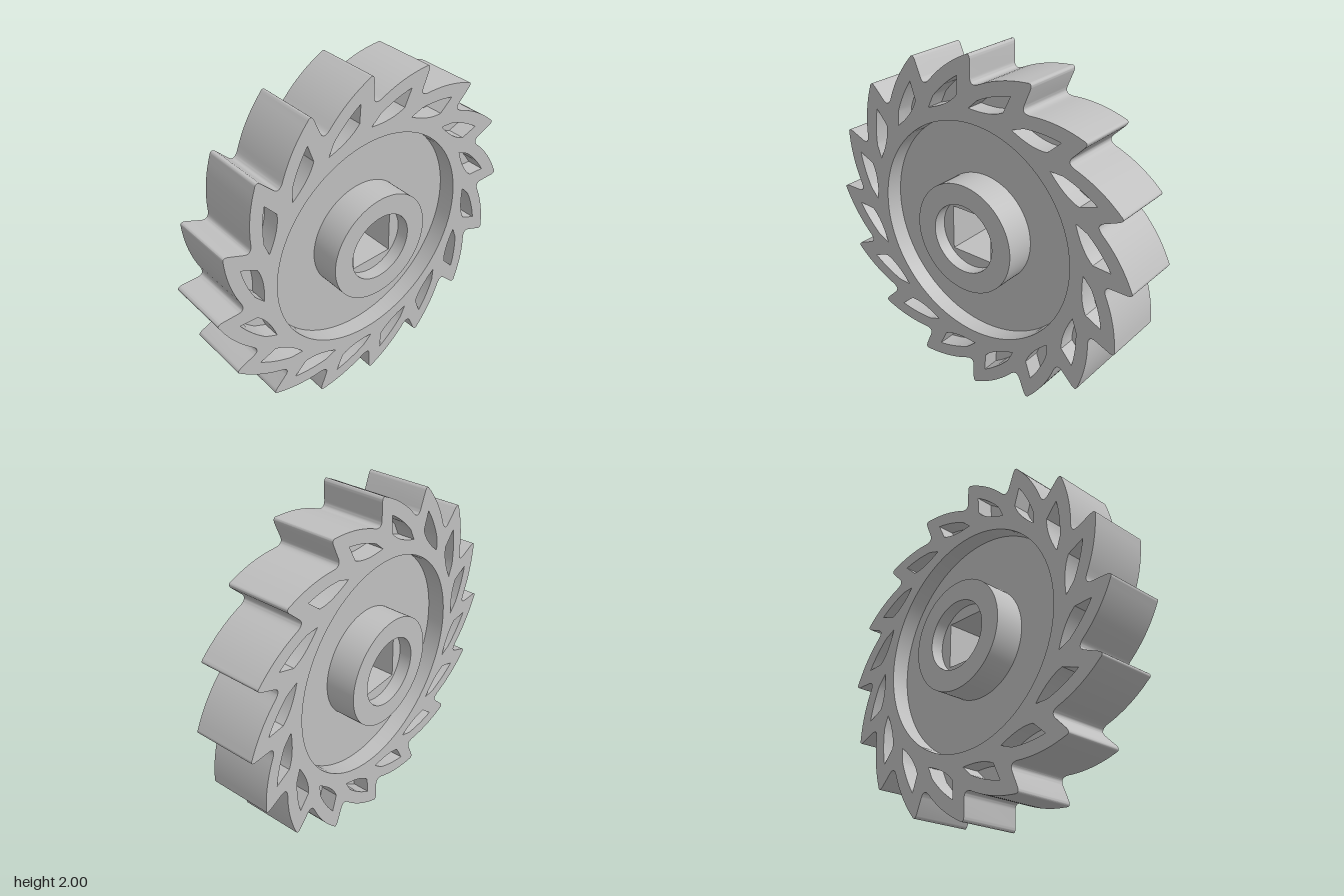
import * as THREE from 'three';
import { toCreasedNormals } from 'three/addons/utils/BufferGeometryUtils.js';

const TEETH = 16, STEP = (Math.PI * 2) / TEETH;
const RIM_Z = 0.183, WEB_Z = 0.08, HUB_Z = 0.257;
const RECESS_R = 0.64, HUB_R = 0.32, BORE_R = 0.2, SQUARE = 0.13;

const centre = new THREE.Vector2();
const turn = (pts, k) => pts.map((p) => p.clone().rotateAround(centre, k * STEP));

// Counter-clockwise circle
function circle(r, n = 96) {
  return Array.from({ length: n }, (_, i) => {
    const a = (i / n) * Math.PI * 2;
    return new THREE.Vector2(Math.cos(a) * r, Math.sin(a) * r);
  });
}

// Swept, raked teeth with rounded tips and roots, counter-clockwise
function toothedOutline() {
  const path = new THREE.Path();
  const start = new THREE.Vector2(-0.03, 0.996);
  const end = turn([start], -1)[0];
  path.moveTo(start.x, start.y);
  path.quadraticCurveTo(-0.002, 1.014, 0, 0.975);
  path.lineTo(0, 0.885);
  path.quadraticCurveTo(0, 0.838, 0.05, 0.857);
  path.quadraticCurveTo(0.193, 0.925, end.x, end.y);
  const tooth = path.getPoints(10).reverse().slice(1);
  const all = [];
  for (let k = 0; k < TEETH; k++) all.push(...turn(tooth, k));
  return all;
}

// One pocket behind a tooth, counter-clockwise
function pocketOutline() {
  const path = new THREE.Path();
  path.moveTo(-0.013, 0.722);
  path.quadraticCurveTo(0.13, 0.708, 0.21, 0.75);
  path.lineTo(0.256, 0.844);
  path.quadraticCurveTo(0.145, 0.825, 0.045, 0.774);
  path.lineTo(-0.013, 0.722);
  return path.getPoints(8).slice(0, -1);
}

// Side wall along a closed outline; inward walls line a hole
function wall(pts, za, zb, inward = false) {
  const z0 = Math.min(za, zb), z1 = Math.max(za, zb);
  const loop = inward ? [...pts].reverse() : pts;
  const pos = [];
  loop.forEach((a, i) => {
    const b = loop[(i + 1) % loop.length];
    pos.push(a.x, a.y, z0, b.x, b.y, z0, b.x, b.y, z1);
    pos.push(a.x, a.y, z0, b.x, b.y, z1, a.x, a.y, z1);
  });
  const g = new THREE.BufferGeometry();
  g.setAttribute('position', new THREE.Float32BufferAttribute(pos, 3));
  return toCreasedNormals(g, 0.5);
}

// Flat face with holes, facing +z or -z with the sign of z
function face(pts, holes, z) {
  const shape = new THREE.Shape(pts);
  shape.holes = holes.map((h) => new THREE.Path(h));
  const g = new THREE.ShapeGeometry(shape);
  g.translate(0, 0, z);
  if (z < 0) {
    g.setIndex(Array.from(g.index.array).reverse());
    g.computeVertexNormals();
  }
  return g;
}

export function createModel() {
  const group = new THREE.Group();
  group.name = 'ratchetWheel';
  const grey = new THREE.MeshStandardMaterial({ color: 0xbfbfbf });
  grey.name = 'grey';

  const add = (parent, name, geometry) => {
    const mesh = new THREE.Mesh(geometry, grey);
    mesh.name = name;
    parent.add(mesh);
  };

  const outline = toothedOutline();
  const recess = circle(RECESS_R), hub = circle(HUB_R), bore = circle(BORE_R);
  const square = [[-1, -1], [1, -1], [1, 1], [-1, 1]]
    .map(([x, y]) => new THREE.Vector2(x * SQUARE, y * SQUARE));
  const pocket = pocketOutline();
  const pockets = Array.from({ length: TEETH }, (_, k) => turn(pocket, k));

  // Full-depth parts
  add(group, 'teeth', wall(outline, -RIM_Z, RIM_Z));
  add(group, 'squareHole', wall(square, -RIM_Z, RIM_Z, true));

  // Matching front and back sides
  for (const s of [1, -1]) {
    const side = new THREE.Group();
    side.name = s > 0 ? 'frontSide' : 'backSide';
    group.add(side);
    const rim = RIM_Z * s, web = WEB_Z * s, top = HUB_Z * s;

    add(side, 'rimFace', face(outline, [recess, ...pockets], rim));
    add(side, 'recessWall', wall(recess, web, rim, true));
    add(side, 'web', face(recess, [hub], web));

    // Hub with a round counterbore above the square hole
    add(side, 'hubWall', wall(hub, web, top));
    add(side, 'hubFace', face(hub, [bore], top));
    add(side, 'counterboreWall', wall(bore, rim, top, true));
    add(side, 'counterboreFloor', face(bore, [square], rim));

    // Blind pockets around the rim
    for (const p of pockets) {
      add(side, 'pocketWall', wall(p, web, rim, true));
      add(side, 'pocketFloor', face(p, [], web));
    }
  }

  group.position.y = 1;
  const model = new THREE.Group();
  model.name = 'model';
  model.add(group);
  return model;
}
